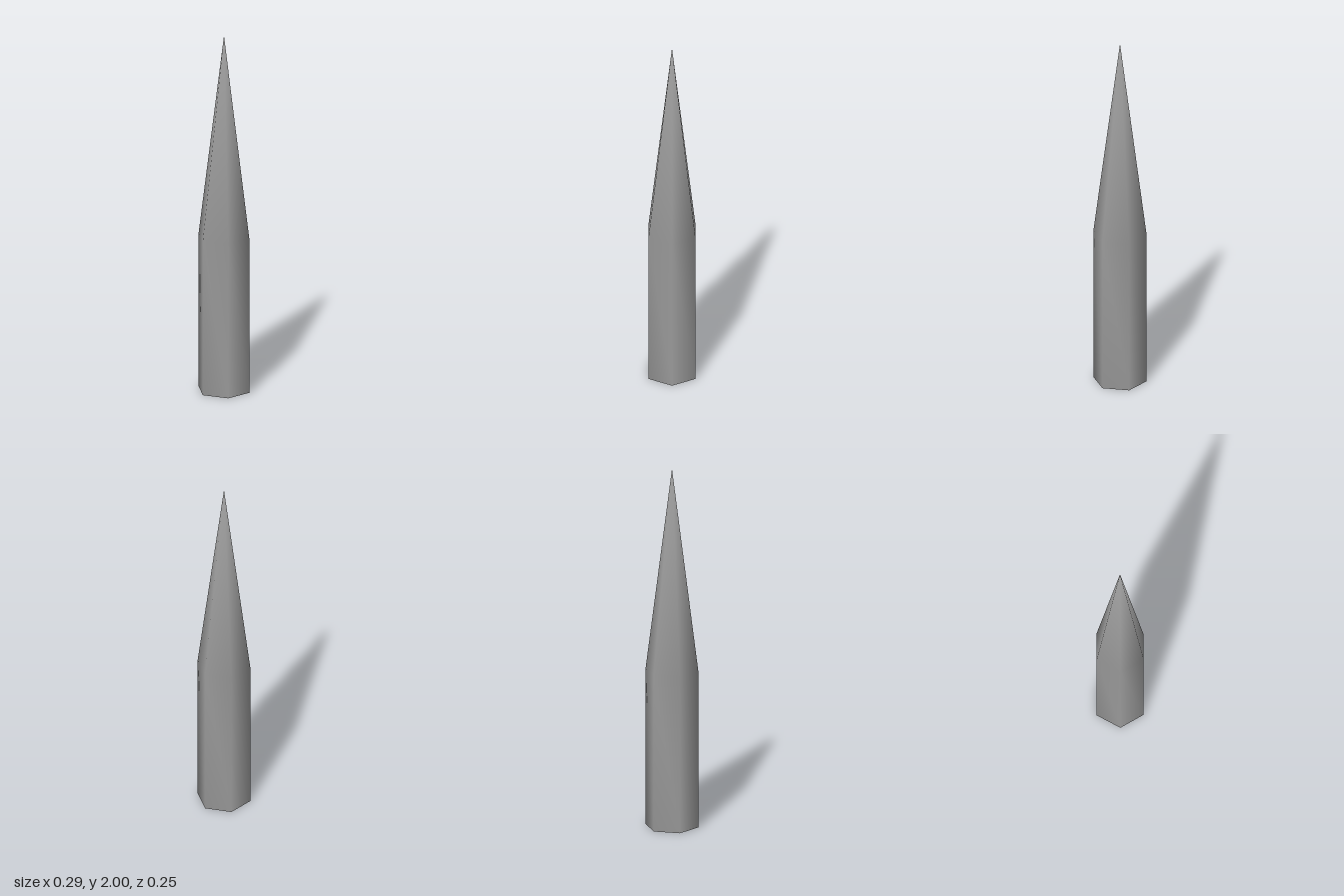
import * as THREE from 'three';
import { mergeVertices } from 'three/addons/utils/BufferGeometryUtils.js';

const SIDES = 6, RADIUS = 0.145, SHOULDER = 0.87, HEIGHT = 2;

export function createModel() {
  const group = new THREE.Group();
  group.name = 'spike';
  const material = new THREE.MeshStandardMaterial({ color: 0x999999 });

  // hexagonal shaft running into a long point, corners on the x axis
  const profile = [[RADIUS, 0], [RADIUS, SHOULDER], [0, HEIGHT]].map(p => new THREE.Vector2(...p));
  let geometry = new THREE.LatheGeometry(profile, SIDES, Math.PI / 2);
  // weld seam and apex so the shading runs smoothly over shaft and point
  geometry.deleteAttribute('normal');
  geometry.deleteAttribute('uv');
  geometry = mergeVertices(geometry);
  geometry.computeVertexNormals();
  const shaft = new THREE.Mesh(geometry, material);
  shaft.name = 'shaftAndPoint';

  // flat bottom with a sharp rim
  const base = new THREE.Mesh(new THREE.CircleGeometry(RADIUS, SIDES).rotateX(Math.PI / 2), material);
  base.name = 'base';

  group.add(shaft, base);
  return group;
}
